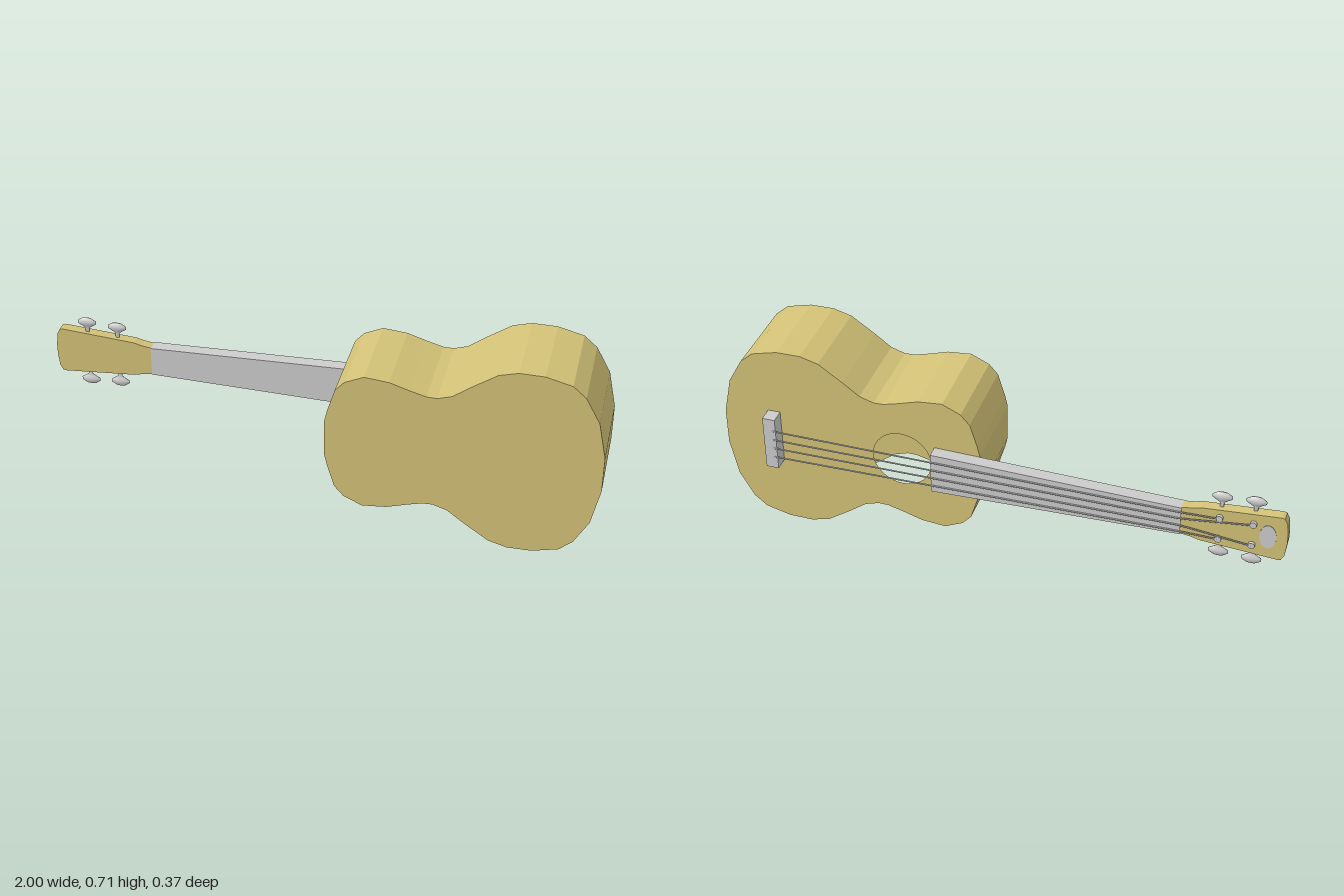
import * as THREE from 'three';

const CY = 0.354; // height of the long axis
const grey = new THREE.MeshStandardMaterial({ color: 0xcccccc });
const wood = new THREE.MeshStandardMaterial({ color: 0xd3c277 });

// closed shape from its upper half, mirrored below the axis
function mirrored(half) {
  const lower = half.filter(p => p[1] > 0).reverse().map(([x, y]) => [x, -y]);
  return new THREE.Shape([...half, ...lower].map(([x, y]) => new THREE.Vector2(x, y)));
}

export function createModel() {
  const model = new THREE.Group();
  model.name = 'ukulele';
  const add = (name, geometry, material, parent = model) => {
    const mesh = new THREE.Mesh(geometry, material);
    mesh.name = name;
    parent.add(mesh);
    return mesh;
  };
  // plate between two z values, centred on the long axis
  const plate = (name, shape, z0, z1, material) => {
    const g = new THREE.ExtrudeGeometry(shape, { depth: z1 - z0, bevelEnabled: false, curveSegments: 16 });
    return add(name, g.translate(0, CY, z0), material);
  };

  // body with a deep sound hole, closed by the back plate
  const outline = [
    [0.063, 0.07], [0.072, 0.11], [0.098, 0.196], [0.13, 0.232], [0.195, 0.262], [0.28, 0.254],
    [0.35, 0.232], [0.405, 0.217], [0.44, 0.216], [0.49, 0.232], [0.55, 0.277], [0.635, 0.335],
    [0.70, 0.353], [0.785, 0.352], [0.875, 0.329], [0.92, 0.29], [0.97, 0.2], [0.998, 0.066]];
  const front = mirrored(outline);
  front.holes.push(new THREE.Path().absarc(0.345, 0, 0.105, 0, Math.PI * 2, true));
  plate('body', front, -0.13, 0.175, wood);
  plate('bodyBack', mirrored(outline), 0.175, 0.185, wood);

  // neck, headstock, bridge
  plate('neck', mirrored([[-0.645, 0.055], [0.225, 0.077]]), -0.178, -0.133, grey);
  plate('headstock', mirrored([[-1, 0.02], [-0.995, 0.065], [-0.985, 0.085], [-0.975, 0.088],
    [-0.71, 0.068], [-0.68, 0.06], [-0.645, 0.055]]), -0.173, -0.136, wood);
  add('bridge', new THREE.BoxGeometry(0.045, 0.206, 0.052), grey).position.set(0.812, CY, -0.156);
  const inlay = add('headInlay', new THREE.CylinderGeometry(1, 1, 1, 24), grey);
  inlay.rotation.x = Math.PI / 2;
  inlay.scale.set(0.028, 0.002, 0.047);
  inlay.position.set(-0.935, CY, -0.1735);

  // tuners: flattened knob on a stem, and a string post
  const knob = new THREE.LatheGeometry(
    [[0.006, -0.01], [0.008, 0.022], [0.02, 0.031], [0.034, 0.04], [0.034, 0.05], [0.018, 0.061], [0, 0.064]]
      .map(([r, y]) => new THREE.Vector2(r, y)), 16).scale(1, 1, 0.3);
  const post = new THREE.CylinderGeometry(0.012, 0.012, 0.02, 12).rotateX(Math.PI / 2);
  for (const [x, edge] of [[-0.885, 0.075], [-0.773, 0.069]]) {
    for (const side of [1, -1]) {
      const tuner = new THREE.Group();
      tuner.name = 'tuner';
      model.add(tuner);
      const k = add('knob', knob, grey, tuner);
      k.position.set(x, CY + side * edge, -0.152);
      if (side < 0) k.rotation.z = Math.PI;
      add('post', post, grey, tuner).position.set(x, CY + side * 0.043, -0.174);
    }
  }

  // strings: bridge to nut, then on to the posts
  for (const side of [1, -1]) {
    for (const [bridgeY, nutY, postX] of [[0.055, 0.04, -0.773], [0.018, 0.014, -0.885]]) {
      const path = new THREE.CurvePath();
      const p = [[0.8, bridgeY], [-0.645, nutY], [postX, 0.043]]
        .map(([x, y]) => new THREE.Vector3(x, CY + side * y, -0.182));
      path.add(new THREE.LineCurve3(p[0], p[1]));
      path.add(new THREE.LineCurve3(p[1], p[2]));
      add('string', new THREE.TubeGeometry(path, 40, 0.0028, 6), grey);
    }
  }
  return model;
}
